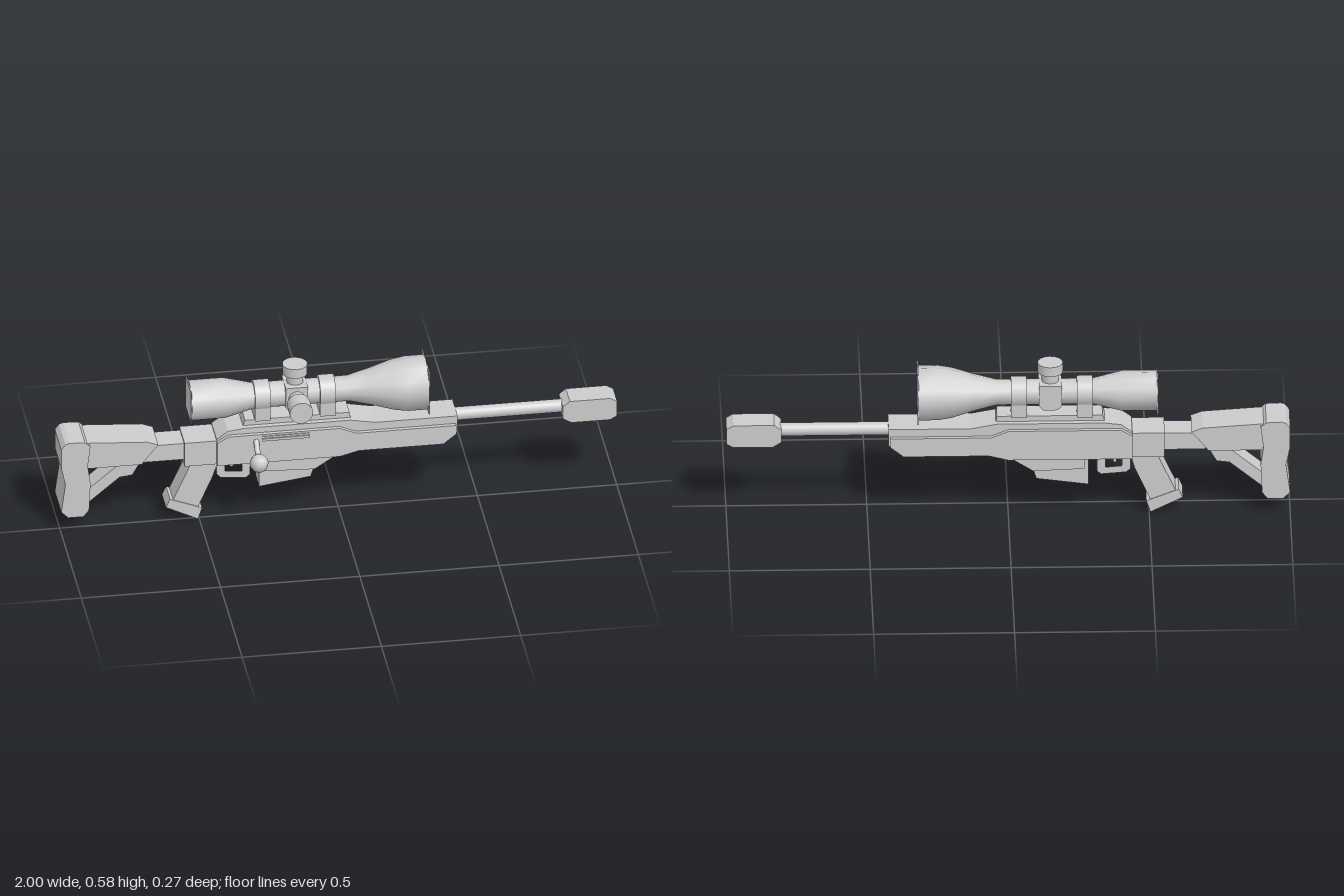
import * as THREE from 'three';
import { toCreasedNormals } from 'three/addons/utils/BufferGeometryUtils.js';

const metal = new THREE.MeshStandardMaterial({ color: 0xcccccc });
metal.name = 'light grey metal';
const ZC = -0.036; // centre plane of the body
const SY = 0.465; // height of the scope axis

export function createModel() {
  const model = new THREE.Group();
  model.name = 'rifle';

  const add = (name, geo, x = 0, y = 0, z = ZC) => {
    const mesh = new THREE.Mesh(geo, metal);
    mesh.name = name;
    mesh.position.set(x, y, z);
    model.add(mesh);
    return mesh;
  };
  // side profile extruded across the body
  const slab = (name, pts, width, hole = null) => {
    const shape = new THREE.Shape(pts.map(p => new THREE.Vector2(...p)));
    if (hole) shape.holes.push(new THREE.Path(hole.map(p => new THREE.Vector2(...p))));
    const geo = new THREE.ExtrudeGeometry(shape, { depth: width, bevelEnabled: false });
    geo.translate(0, 0, -width / 2);
    return add(name, geo);
  };
  const box = (name, w, h, d, x, y, z) => add(name, new THREE.BoxGeometry(w, h, d), x, y, z);
  // round part along x from [x, radius] pairs
  const turned = (name, pts, y, sides) => {
    const geo = new THREE.LatheGeometry(pts.map(([x, r]) => new THREE.Vector2(r, x)), sides);
    geo.rotateZ(-Math.PI / 2);
    return add(name, toCreasedNormals(geo, 0.7), 0, y);
  };
  const rod = (name, from, to, radius, sides = 16) => {
    const a = new THREE.Vector3(...from), b = new THREE.Vector3(...to);
    const mesh = add(name, new THREE.CylinderGeometry(radius, radius, a.distanceTo(b), sides));
    mesh.position.copy(a).lerp(b, 0.5);
    mesh.quaternion.setFromUnitVectors(new THREE.Vector3(0, 1, 0), b.sub(a).normalize());
    return mesh;
  };

  // shoulder stock
  slab('buttPad', [[-1, 0.345], [-0.985, 0.365], [-0.97, 0.37], [-0.915, 0.368], [-0.895, 0.35], [-0.905, 0.27],
    [-0.895, 0.2], [-0.9, 0.09], [-0.92, 0.065], [-0.975, 0.065], [-1, 0.09], [-0.985, 0.2], [-1, 0.27]], 0.15);
  slab('stock', [[-0.91, 0.36], [-0.69, 0.345], [-0.65, 0.33], [-0.675, 0.3], [-0.71, 0.255], [-0.91, 0.255]], 0.132);
  slab('stockStrut', [[-0.7, 0.27], [-0.74, 0.2], [-0.785, 0.195], [-0.905, 0.095], [-0.905, 0.15], [-0.785, 0.25], [-0.785, 0.27]], 0.08);
  box('stockTube', 0.16, 0.065, 0.096, -0.62, 0.285);

  // receiver and handguard
  slab('receiverRear', [[-0.555, 0.325], [-0.43, 0.325], [-0.43, 0.23], [-0.555, 0.23]], 0.122);
  slab('receiverCore', [[-0.44, 0.33], [-0.4, 0.36], [-0.34, 0.367], [0.04, 0.367], [0.13, 0.35], [0.425, 0.35],
    [0.425, 0.285], [0.375, 0.25], [0.07, 0.25], [0, 0.232], [-0.44, 0.232]], 0.12);
  slab('bodySides', [[-0.44, 0.322], [-0.4, 0.345], [0, 0.345], [0.06, 0.32], [0.418, 0.32], [0.418, 0.285],
    [0.372, 0.248], [0.07, 0.248], [0, 0.23], [-0.44, 0.23]], 0.15);
  slab('topRail', [[-0.345, 0.36], [-0.335, 0.388], [0.04, 0.388], [0.045, 0.36]], 0.08);
  box('ejectionPort', 0.17, 0.032, 0.01, -0.195, 0.322, 0.037);
  box('portCover', 0.17, 0.01, 0.016, -0.195, 0.326, 0.039);

  // magazine
  slab('magazineWell', [[-0.27, 0.24], [-0.27, 0.185], [-0.088, 0.178], [0, 0.235]], 0.12);
  slab('magazine', [[-0.285, 0.24], [-0.285, 0.115], [-0.1, 0.14], [-0.088, 0.178], [-0.088, 0.24]], 0.088);

  // grip and trigger
  slab('grip', [[-0.525, 0.24], [-0.43, 0.24], [-0.45, 0.175], [-0.505, 0.05], [-0.595, 0.085]], 0.088);
  slab('gripBase', [[-0.605, 0.092], [-0.49, 0.047], [-0.505, 0.003], [-0.62, 0.06]], 0.094);
  slab('triggerGuard', [[-0.435, 0.24], [-0.315, 0.24], [-0.315, 0.16], [-0.33, 0.148], [-0.42, 0.155], [-0.435, 0.17]], 0.06,
    [[-0.405, 0.22], [-0.345, 0.22], [-0.345, 0.175], [-0.405, 0.18]]);
  slab('trigger', [[-0.385, 0.225], [-0.365, 0.225], [-0.375, 0.185], [-0.385, 0.185]], 0.02);

  // bolt handle
  rod('boltArm', [-0.3, 0.33, 0.02], [-0.3, 0.275, 0.095], 0.01, 10);
  add('boltKnob', new THREE.SphereGeometry(0.034, 10, 8), -0.3, 0.267, 0.105);

  // barrel and muzzle
  rod('barrel', [0.4, 0.325, ZC], [0.82, 0.325, ZC], 0.024);
  slab('muzzleBrake', [[0.805, 0.345], [0.83, 0.365], [0.975, 0.365], [1, 0.35], [1, 0.292], [0.975, 0.278],
    [0.835, 0.278], [0.805, 0.297]], 0.093);

  // scope with square end plates
  turned('scopeTube', [[-0.529, 0], [-0.529, 0.072], [-0.405, 0.072], [-0.3, 0.046], [0.04, 0.046],
    [0.12, 0.066], [0.2, 0.09], [0.25, 0.098], [0.319, 0.098], [0.319, 0]], SY, 12);
  box('frontLens', 0.004, 0.17, 0.17, 0.32, SY);
  box('rearLens', 0.004, 0.125, 0.125, -0.53, SY);
  for (const x of [-0.272, -0.038]) {
    rod('scopeRing', [x - 0.028, SY, ZC], [x + 0.028, SY, ZC], 0.056);
    box('ringMount', 0.056, 0.065, 0.09, x, 0.415);
  }

  // adjustment turrets
  slab('turretBlock', [[-0.19, 0.43], [-0.175, 0.415], [-0.125, 0.415], [-0.11, 0.43], [-0.11, 0.51], [-0.19, 0.51]], 0.1);
  rod('topTurretNeck', [-0.15, 0.5, ZC], [-0.15, 0.55, ZC], 0.03);
  rod('topTurretCap', [-0.15, 0.545, ZC], [-0.15, 0.582, ZC], 0.045);
  rod('sideTurretNeck', [-0.15, SY, 0], [-0.15, SY, 0.06], 0.03);
  rod('sideTurretCap', [-0.15, SY, 0.05], [-0.15, SY, 0.118], 0.042);

  return model;
}
